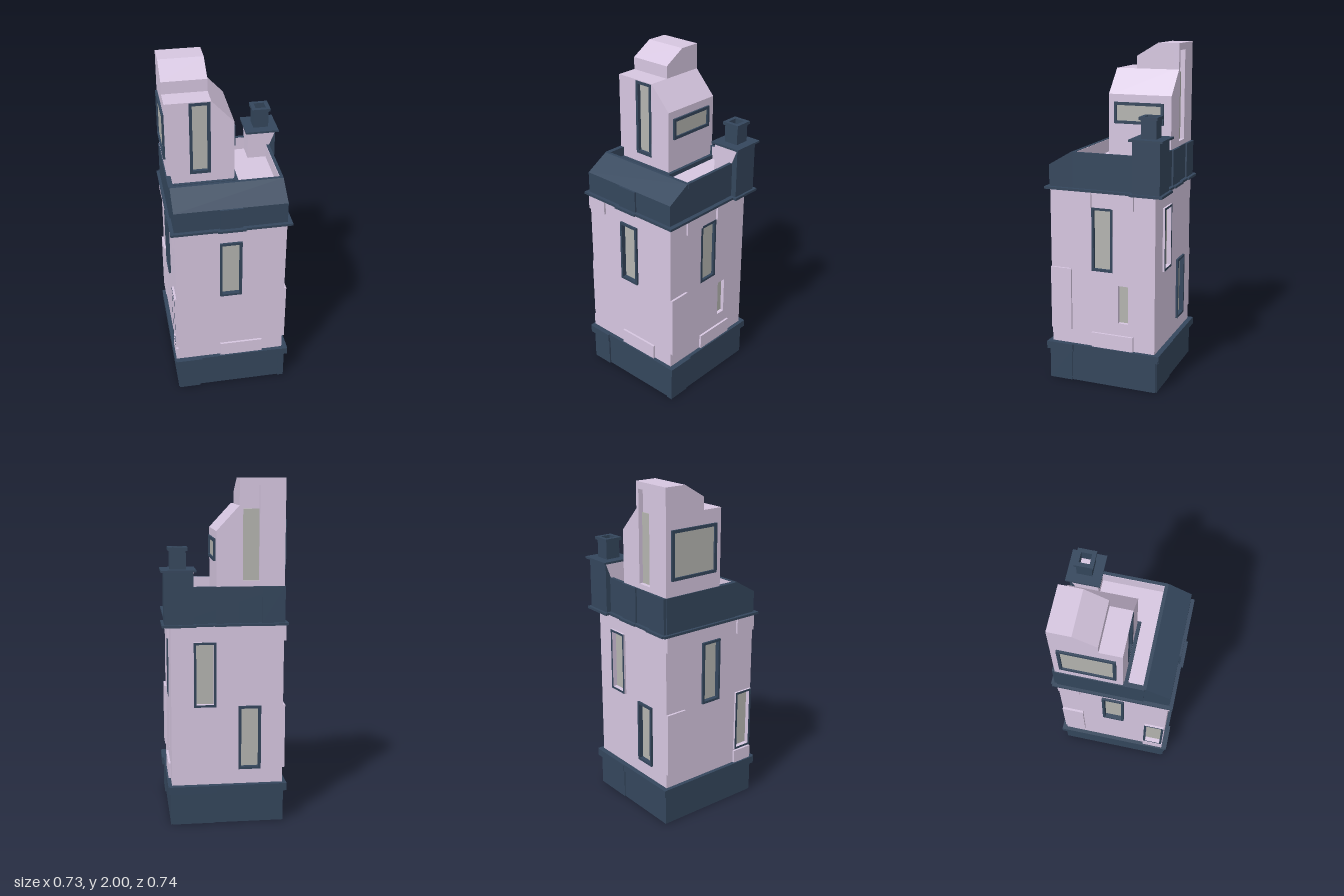
import * as THREE from 'three';

const mat = (color) => new THREE.MeshStandardMaterial({ color, flatShading: true });
const lilac = mat(0xd6c6e0), navy = mat(0x34465c), grey = mat(0xb4b4b0);

function add(parent, name, geometry, material) {
  const m = new THREE.Mesh(geometry, material);
  m.name = name;
  parent.add(m);
  return m;
}

// Box given by its lower and upper limits
function box(parent, name, material, x0, x1, y0, y1, z0, z1) {
  const m = add(parent, name, new THREE.BoxGeometry(x1 - x0, y1 - y0, z1 - z0), material);
  m.position.set((x0 + x1) / 2, (y0 + y1) / 2, (z0 + z1) / 2);
  return m;
}

const poly = (pts) => new THREE.Shape(pts.map(([x, y]) => new THREE.Vector2(x, y)));
const rect = (x0, x1, y0, y1) => [[x0, y0], [x1, y0], [x1, y1], [x0, y1]];

// Outline in x,y extruded from z0 to z1, with optional rectangular holes
function slab(parent, name, material, pts, z0, z1, holes = []) {
  const s = poly(pts);
  holes.forEach((h) => s.holes.push(poly(rect(...h))));
  const g = new THREE.ExtrudeGeometry(s, { depth: z1 - z0, bevelEnabled: false });
  return add(parent, name, g.translate(0, 0, z0), material);
}

// Outline in z,y extruded along x
function sideSlab(parent, name, material, pts, x0, x1) {
  const m = slab(parent, name, material, pts.map(([z, y]) => [-z, y]), x0, x1);
  m.geometry.rotateY(Math.PI / 2);
  return m;
}

// Frame and pane on a wall whose outside faces local +z
function windowUnit(parent, [u0, u1, y0, y1], { bar = 0.014, back = -0.03, out = 0.013, pane = -0.014, sides = navy } = {}) {
  const inner = [u0 + bar, u1 - bar, y0 + bar, y1 - bar];
  slab(parent, 'windowFrame', [navy, sides], rect(u0, u1, y0, y1), back, out, [inner]);
  const g = add(parent, 'windowPane', new THREE.PlaneGeometry(inner[1] - inner[0], inner[3] - inner[2]), grey);
  g.position.set((u0 + u1) / 2, (y0 + y1) / 2, pane);
}

const H = 0.325;
// Per wall: windows, slits, stone blocks [u0,u1,y0,y1]; plinth and parapet panels [u0,u1]
const WALLS = [
  { name: 'front', turn: 0, windows: [[-0.065, 0.065, 0.705, 1.085]], slits: [],
    blocks: [[-0.325, -0.195, 1.085, 1.18], [-0.065, 0.195, 0.23, 0.325]],
    plinth: [[-0.325, -0.195]], parapet: [] },
  { name: 'right', turn: Math.PI / 2, windows: [[-0.065, 0.065, 0.705, 1.085]], slits: [[0.1, 0.16, 0.4, 0.63]], out: 0.003,
    blocks: [[-0.325, -0.195, 0.325, 0.705], [-0.195, -0.065, 1.085, 1.18], [0.065, 0.195, 1.085, 1.18], [-0.065, 0.195, 0.23, 0.325]],
    plinth: [[-0.337, -0.195]], parapet: [] },
  { name: 'back', turn: Math.PI, windows: [[-0.195, -0.065, 0.705, 1.085], [0.065, 0.195, 0.325, 0.705]], slits: [],
    blocks: [], plinth: [[-0.325, -0.08]], parapet: [[0.195, 0.325], [-0.065, 0.065]] },
  { name: 'left', turn: -Math.PI / 2, windows: [[-0.065, 0.065, 0.705, 1.085], [0.197, 0.32, 0.325, 0.705]], slits: [],
    blocks: [[-0.325, -0.195, 0.325, 0.705], [-0.325, -0.195, 1.085, 1.18], [0.195, 0.325, 1.085, 1.18], [0.195, 0.325, 0.23, 0.315]],
    plinth: [], parapet: [] },
];

function mainBody() {
  const body = new THREE.Group();
  body.name = 'mainBody';
  body.position.set(-0.01, 0, 0.01);
  box(body, 'plinth', navy, -0.33, 0.334, 0, 0.19, -0.335, 0.33);
  box(body, 'plinthBand', navy, -0.348, 0.348, 0.19, 0.235, -0.355, 0.348);
  for (const w of WALLS) {
    const wall = new THREE.Group();
    wall.name = w.name + 'Wall';
    wall.rotation.y = w.turn;
    body.add(wall);
    const face = new THREE.Group();
    face.name = w.name + 'Face';
    face.position.z = H;
    wall.add(face);
    const half = w.name === 'front' || w.name === 'back' ? H - 0.03 : H;
    slab(face, 'wallPanel', lilac, rect(-half, half, 0.2, 1.185), -0.03, 0, [...w.windows, ...w.slits]);
    w.windows.forEach((r, i) => {
      const paleSides = (w.name === 'back' && i === 0) || (w.name === 'left' && i === 1);
      windowUnit(face, r, { out: w.out ?? 0.013, sides: paleSides ? lilac : navy });
    });
    for (const [a, b, c, d] of w.slits) box(face, 'slitPane', grey, a, b, c, d, -0.03, -0.022);
    for (const [a, b, c, d] of w.blocks) box(face, 'stoneBlock', lilac, a, b, c, d, -0.01, 0.013);
    for (const [a, b] of w.plinth) {
      box(face, 'plinthPanel', navy, a, b, 0, 0.19, -0.02, 0.016);
      box(face, 'plinthBandPanel', navy, a - 0.014, b + 0.014, 0.19, 0.235, -0.02, 0.033);
    }
    for (const [a, b] of w.parapet) {
      box(face, 'parapetPanel', navy, a, b, 1.19, 1.4, -0.01, 0.016);
      box(face, 'cornicePanel', navy, a - 0.01, b + 0.01, 1.178, 1.192, -0.01, 0.035);
    }
  }
  return body;
}

function roof() {
  const r = new THREE.Group();
  r.name = 'roof';
  box(r, 'cornice', navy, -0.357, 0.342, 1.178, 1.192, -0.342, 0.362);
  box(r, 'terraceFloor', lilac, -0.32, 0.3, 1.19, 1.32, -0.305, 0.19);
  // Sloped front parapet with a raised centre panel
  const profile = [[0.18, 1.19], [0.34, 1.19], [0.34, 1.318], [0.2, 1.4], [0.18, 1.4]];
  sideSlab(r, 'frontParapet', navy, profile, -0.335, 0.315);
  box(r, 'frontParapetPanel', navy, -0.075, 0.055, 1.19, 1.318, 0.33, 0.351);
  box(r, 'frontCornicePanel', navy, -0.09, 0.07, 1.178, 1.192, 0.33, 0.372);
  box(r, 'frontParapetLining', lilac, -0.315, 0.295, 1.3, 1.398, 0.177, 0.18);
  // Side and back parapets, lined on the terrace side
  box(r, 'rightParapet', navy, 0.297, 0.316, 1.19, 1.4, -0.315, 0.19);
  box(r, 'rightParapetLining', lilac, 0.294, 0.297, 1.3, 1.398, -0.3, 0.18);
  box(r, 'leftParapet', navy, -0.339, -0.313, 1.19, 1.4, 0.07, 0.19);
  box(r, 'leftParapetSkin', navy, -0.341, -0.335, 1.19, 1.4, -0.315, 0.19);
  box(r, 'backParapet', navy, -0.335, 0.316, 1.19, 1.4, -0.321, -0.3);
  box(r, 'backParapetLining', lilac, 0.07, 0.295, 1.3, 1.398, -0.3, -0.297);
  return r;
}

function chimney() {
  const c = new THREE.Group();
  c.name = 'chimney';
  const ring = (name, half, y0, y1) => {
    const m = slab(c, name, navy, rect(-half, half, -half, half), y0, y1, [[-0.031, 0.031, -0.031, 0.031]]);
    m.geometry.rotateX(-Math.PI / 2);
    m.position.set(0.27, 0, -0.27);
  };
  box(c, 'chimneyFoot', navy, 0.172, 0.365, 1.178, 1.192, -0.368, -0.172);
  box(c, 'chimneyBase', navy, 0.187, 0.35, 1.19, 1.49, -0.35, -0.187);
  // Pale facing on the two terrace sides
  slab(c, 'chimneyFrontFacing', lilac, [[0.185, 1.3], [0.315, 1.3], [0.315, 1.4], [0.35, 1.49], [0.185, 1.49]], -0.188, -0.184);
  sideSlab(c, 'chimneySideFacing', lilac, [[-0.315, 1.3], [-0.185, 1.3], [-0.185, 1.49], [-0.35, 1.49], [-0.315, 1.4]], 0.184, 0.188);
  box(c, 'chimneyLedge', navy, 0.17, 0.368, 1.488, 1.5, -0.37, -0.17);
  ring('chimneyStack', 0.045, 1.5, 1.606);
  ring('chimneyCap', 0.055, 1.604, 1.622);
  box(c, 'flueFloor', lilac, 0.238, 0.302, 1.5, 1.55, -0.302, -0.238);
  return c;
}

function turret() {
  const t = new THREE.Group();
  t.name = 'turret';
  const low = [[-0.335, 1.3], [0.055, 1.3], [0.055, 1.71], [-0.075, 1.85], [-0.335, 1.85]];
  const backOutline = [...low.slice(0, 4), [-0.075, 2], [-0.335, 2]];
  const frontHole = [-0.2, -0.08, 1.4, 1.845];
  const niche = [-0.19, -0.095, 1.43, 1.96];
  slab(t, 'turretCore', lilac, low, -0.285, 0.04);
  slab(t, 'turretFront', lilac, low, 0.04, 0.07, [frontHole]);
  slab(t, 'turretBack', lilac, backOutline, -0.315, -0.285, [niche]);
  box(t, 'nichePane', grey, -0.19, -0.095, 1.43, 1.83, -0.291, -0.284);
  // Hooded top
  sideSlab(t, 'turretHood', lilac, [[-0.285, 1.84], [-0.055, 1.84], [-0.055, 1.923], [-0.185, 2], [-0.285, 2]], -0.335, -0.075);
  box(t, 'turretSkirt', navy, -0.334, 0.075, 1.31, 1.345, -0.3, 0.09);

  const mount = (name, x, z, turn) => {
    const g = new THREE.Group();
    g.name = name;
    g.position.set(x, 0, z);
    g.rotation.y = turn;
    t.add(g);
    return g;
  };
  windowUnit(mount('turretFrontWindow', 0, 0.07, 0), frontHole, { bar: 0.017, out: 0.003, pane: -0.018 });
  const surface = { bar: 0.017, back: -0.005, out: 0.012, pane: 0.002 };
  windowUnit(mount('turretRightWindow', 0.055, 0, Math.PI / 2), [-0.035, 0.27, 1.54, 1.665], surface);
  windowUnit(mount('turretLeftWindow', -0.335, 0, -Math.PI / 2), [-0.28, 0.035, 1.49, 1.77], surface);
  return t;
}

export function createModel() {
  const model = new THREE.Group();
  model.name = 'towerHouse';
  model.add(mainBody(), roof(), chimney(), turret());
  return model;
}
